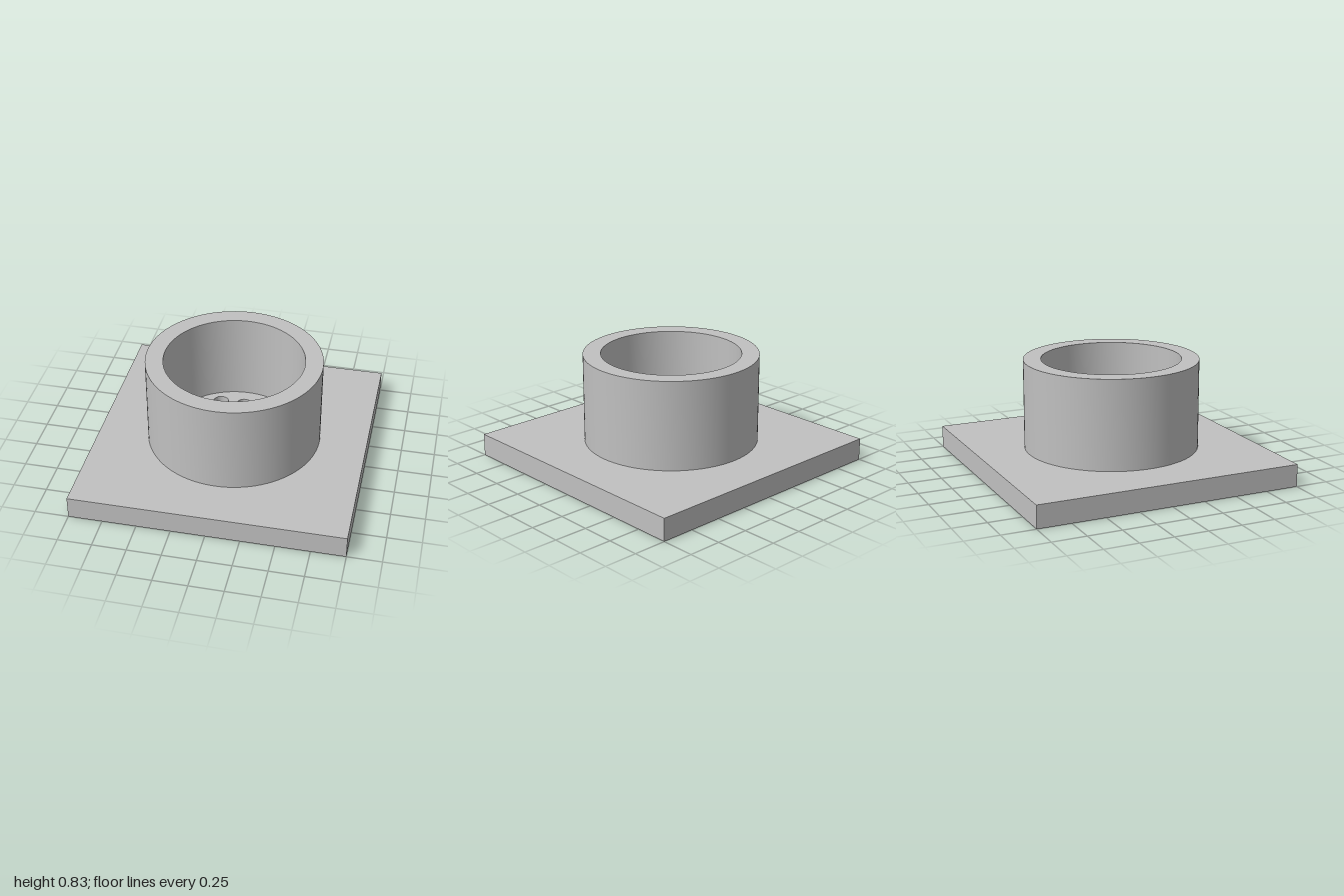
import * as THREE from 'three';
import { toCreasedNormals } from 'three/addons/utils/BufferGeometryUtils.js';

const PLATE_HEIGHT = 0.167;
const TOP = 0.833;
const OUTER_RADIUS = 0.648;
const INNER_RADIUS = 0.517;
const HOLE_RADIUS = 0.058;
const HOLE_PITCH = 0.183;

// Square plate pierced by a 5 x 5 grid of holes without its corners
function plateGeometry() {
  const shape = new THREE.Shape([
    new THREE.Vector2(-1, -1), new THREE.Vector2(1, -1),
    new THREE.Vector2(1, 1), new THREE.Vector2(-1, 1),
  ]);
  for (let i = -2; i <= 2; i++) {
    for (let j = -2; j <= 2; j++) {
      if (Math.abs(i) === 2 && Math.abs(j) === 2) continue;
      const hole = new THREE.Path();
      hole.absarc(i * HOLE_PITCH, j * HOLE_PITCH, HOLE_RADIUS, 0, Math.PI * 2, true);
      shape.holes.push(hole);
    }
  }
  const geometry = new THREE.ExtrudeGeometry(shape, {
    depth: PLATE_HEIGHT, bevelEnabled: false, curveSegments: 20,
  });
  geometry.rotateX(-Math.PI / 2);
  return toCreasedNormals(geometry, 0.6);
}

// Open collar: outer wall, flat rim and inner wall
function collarGeometry() {
  const profile = [
    new THREE.Vector2(OUTER_RADIUS, PLATE_HEIGHT),
    new THREE.Vector2(OUTER_RADIUS, TOP),
    new THREE.Vector2(INNER_RADIUS, TOP),
    new THREE.Vector2(INNER_RADIUS, PLATE_HEIGHT),
  ];
  return toCreasedNormals(new THREE.LatheGeometry(profile, 96), 0.6);
}

export function createModel() {
  const grey = new THREE.MeshStandardMaterial({ color: 0xc0c0c0 });
  grey.name = 'light grey';

  const model = new THREE.Group();
  model.name = 'drainFlange';
  const add = (name, geometry) => {
    const mesh = new THREE.Mesh(geometry, grey);
    mesh.name = name;
    model.add(mesh);
  };
  add('perforatedPlate', plateGeometry());
  add('collar', collarGeometry());
  return model;
}
